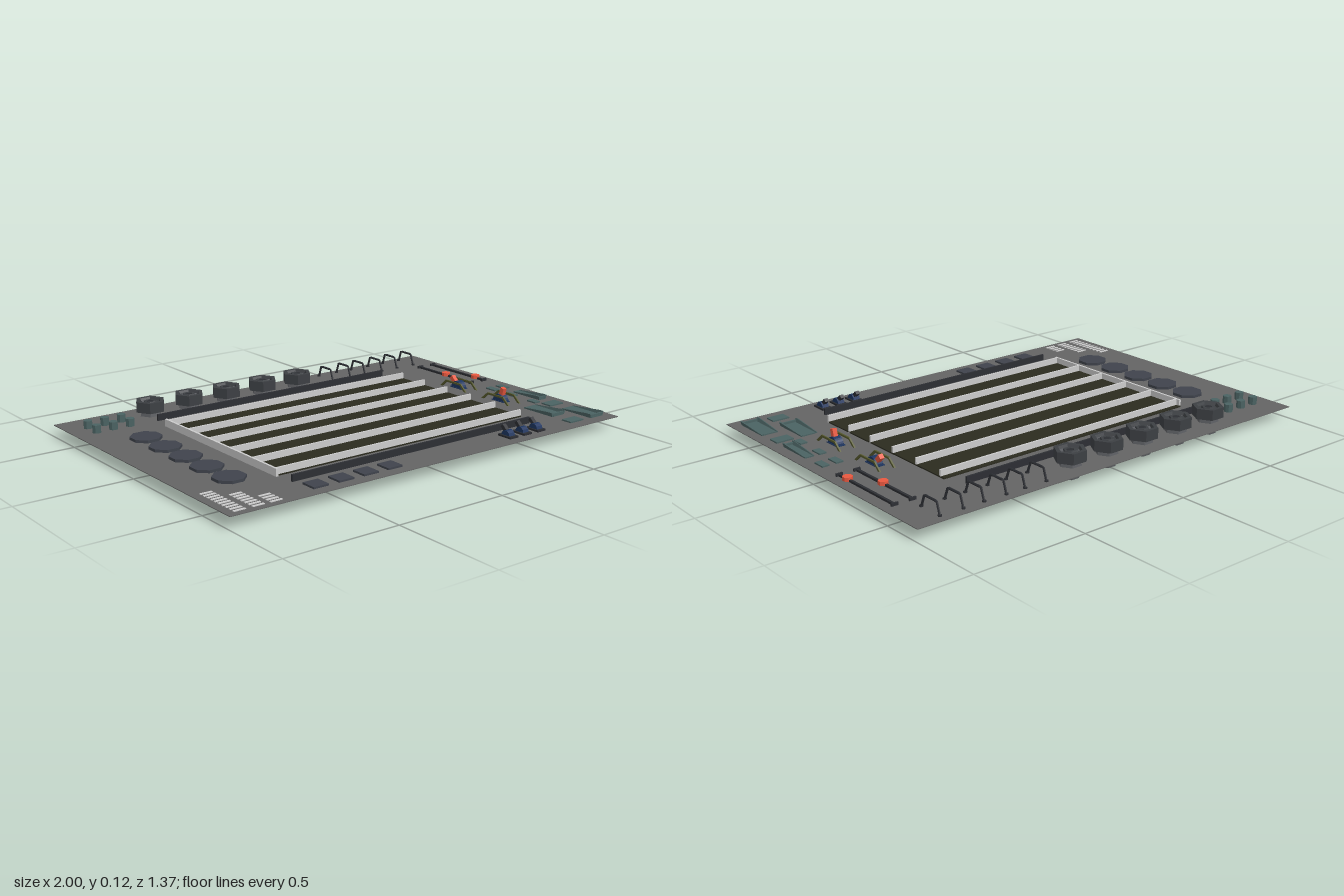
import * as THREE from 'three';

const Y = 0.053; // top surface of the panel

const mat = (color, double) => new THREE.MeshStandardMaterial({
  color, flatShading: true, side: double ? THREE.DoubleSide : THREE.FrontSide,
});
const M = {
  panel: mat(0x646464), light: mat(0xcccccc), olive: mat(0x2b2b1f), frame: mat(0x55582c),
  dark: mat(0x2c2e33), slate: mat(0x3f434c), navy: mat(0x1d3560), red: mat(0xe8583f),
  teal: mat(0x4a6262), metal: mat(0x5c5e62, true), cap: mat(0x3c3f43, true),
};

export function createModel() {
  const root = new THREE.Group();

  const add = (name, geo, m, x, y, z, parent = root) => {
    const mesh = new THREE.Mesh(geo, m);
    mesh.name = name;
    mesh.position.set(x, y, z);
    parent.add(mesh);
    return mesh;
  };
  // Box given by centre x/z, bottom y and size
  const box = (name, m, x, y, z, w, h, d, parent) =>
    add(name, new THREE.BoxGeometry(w, h, d), m, x, y + h / 2, z, parent);
  const group = (name, x, y, z) => {
    const g = new THREE.Group();
    g.name = name;
    g.position.set(x, y, z);
    root.add(g);
    return g;
  };
  // Extruded z/y outline, centred on x
  const sideProfile = (name, m, pts, width, x, y, z, parent) => {
    const shape = new THREE.Shape(pts.map(([pz, py]) => new THREE.Vector2(-pz, py)));
    const geo = new THREE.ExtrudeGeometry(shape, { depth: width, bevelEnabled: false });
    geo.translate(0, 0, -width / 2).rotateY(Math.PI / 2);
    return add(name, geo, m, x, y, z, parent);
  };

  // Base panel
  box('panel', M.panel, 0, Y - 0.003, 0, 2, 0.003, 1.37);

  // Central bed with upright slats and one end wall
  box('bed', M.olive, 0.015, Y - 0.0035, 0.025, 1.29, 0.009, 0.82);
  for (let i = 0; i < 6; i++) {
    box('slat', M.light, 0.015, Y, -0.36 + i * 0.1576, 1.29, 0.032, 0.009);
  }
  box('endWall', M.light, -0.63, Y, 0.03, 0.01, 0.032, 0.82);

  // Long dark rails behind and in front of the bed
  for (const z of [-0.47, 0.52]) box('rail', M.dark, 0, Y - 0.005, z, 1.24, 0.033, 0.009);

  // Hexagonal knobs with a cup passing below the panel
  const knobProfile = [
    [0.046, 0.07], [0.068, 0.073], [0.068, 0.119], [0.05, 0.119], [0.044, 0.108],
    [0.03, 0.108], [0.027, 0.115], [0.017, 0.115], [0.015, 0.1], [0.001, 0.1],
  ].map(([r, y]) => new THREE.Vector2(r, y));
  const cupProfile = [[0.001, 0], [0.038, 0], [0.049, Y], [0.046, 0.073]]
    .map(([r, y]) => new THREE.Vector2(r, y));
  for (let i = 0; i < 5; i++) {
    const g = group('knob', -0.595 + i * 0.196, 0, -0.573);
    const cap = add('knobCap', new THREE.LatheGeometry(knobProfile, 6), M.cap, 0, 0, 0, g);
    const cup = add('knobCup', new THREE.LatheGeometry(cupProfile, 6), M.metal, 0, 0, 0, g);
    add('knobRing', new THREE.CylinderGeometry(0.047, 0.047, 0.004, 6, 1), M.metal, 0, 0.106, 0, g)
      .rotation.y = Math.PI / 6;
    add('knobCentre', new THREE.CylinderGeometry(0.014, 0.014, 0.012, 6), M.dark, 0, 0.108, 0, g);
    cap.rotation.y = cup.rotation.y = Math.PI / 6;
    g.children[2].rotation.y = Math.PI / 2;
  }

  // Arched wire handles
  const arch = new THREE.CurvePath();
  const archPts = [[-0.058, 0], [-0.04, 0.052], [0.034, 0.052], [0.054, 0]]
    .map(([z, y]) => new THREE.Vector3(0, y, z));
  for (let i = 0; i < 3; i++) arch.add(new THREE.LineCurve3(archPts[i], archPts[i + 1]));
  for (const x of [0.375, 0.48, 0.57, 0.675, 0.77, 0.875]) {
    const g = group('wireHandle', x, Y, -0.59);
    add('wire', new THREE.TubeGeometry(arch, 24, 0.005, 6), M.dark, 0, 0, 0, g);
    for (const z of [-0.058, 0.054]) {
      add('foot', new THREE.CylinderGeometry(0.008, 0.008, 0.006, 8), M.dark, 0, 0.003, z, g);
    }
  }

  // Small round buttons
  for (const x of [-0.905, -0.827, -0.748]) {
    for (const z of [-0.555, -0.477]) {
      add('button', new THREE.CylinderGeometry(0.019, 0.019, 0.034, 8), M.teal, x, Y + 0.017, z);
    }
  }

  // Large eight-sided pads
  for (let i = 0; i < 5; i++) {
    add('pad', new THREE.CylinderGeometry(0.068, 0.068, 0.012, 8), M.slate,
      -0.785, Y + 0.006, -0.277 + i * 0.156).rotation.y = Math.PI / 8;
  }

  // Square keys
  for (let i = 0; i < 4; i++) {
    box('squareKey', M.slate, -0.57 + i * 0.118, Y, 0.603, 0.07, 0.008, 0.07);
  }

  // Stepped columns of marker bars
  [[-0.94, 10], [-0.86, 7], [-0.783, 4]].forEach(([x, count]) => {
    for (let i = 0; i < count; i++) {
      box('markerBar', M.light, x, Y, 0.652 - i * 0.0243, 0.052, 0.003, 0.011);
    }
  });

  // Toggle switches
  for (const x of [0.415, 0.495, 0.575]) {
    const g = group('toggleSwitch', x, Y, 0.605);
    box('toggleBase', M.dark, 0, -0.009, 0, 0.046, 0.017, 0.072, g);
    const hub = add('toggleHub', new THREE.CylinderGeometry(0.024, 0.024, 0.032, 10), M.navy, 0, 0.006, 0, g);
    hub.rotation.z = Math.PI / 2;
    const lever = box('toggleLever', M.dark, 0, 0.018, -0.02, 0.018, 0.03, 0.016, g);
    lever.rotation.x = -0.85;
  }

  // Rocker levers between two trapezoid guards
  const guard = [
    [-0.088, 0], [-0.05, 0.033], [0.05, 0.033], [0.088, 0],
    [0.074, 0], [0.045, 0.025], [-0.045, 0.025], [-0.074, 0],
  ];
  for (const [z, tilt] of [[-0.085, -0.8], [0.195, 0.25]]) {
    const g = group('rocker', 0.77, Y, z);
    for (const x of [-0.034, 0.034]) sideProfile('rockerGuard', M.frame, guard, 0.007, x, 0, 0, g);
    box('rockerBase', M.navy, 0, -0.009, 0, 0.04, 0.012, 0.078, g);
    const hub = add('rockerHub', new THREE.CylinderGeometry(0.033, 0.033, 0.034, 12, 1, false, 0, Math.PI),
      M.navy, 0, 0, 0, g);
    hub.rotation.z = Math.PI / 2;
    const pivot = new THREE.Group();
    pivot.name = 'rockerLeverPivot';
    pivot.rotation.x = tilt;
    g.add(pivot);
    box('rockerLever', M.red, 0, 0.024, 0, 0.02, 0.04, 0.02, pivot);
  }

  // Linear sliders with round grips
  for (const [x, grip] of [[0.865, -0.28], [0.945, -0.16]]) {
    box('sliderTrack', M.dark, x, Y, -0.285, 0.011, 0.009, 0.37);
    for (const z of [-0.468, -0.102]) box('sliderEnd', M.dark, x, Y, z, 0.03, 0.012, 0.008);
    add('sliderGrip', new THREE.CylinderGeometry(0.021, 0.021, 0.016, 8), M.red, x, Y + 0.01, grip)
      .rotation.y = Math.PI / 8;
  }

  // Flat teal plates
  const plates = [
    [0.872, 0.037, 0.033, 0.058], [0.935, 0.037, 0.033, 0.058], [0.872, 0.157, 0.033, 0.055],
    [0.872, 0.3, 0.033, 0.05], [0.915, 0.375, 0.08, 0.055], [0.797, 0.607, 0.078, 0.052],
  ];
  for (const [x, z, w, d] of plates) box('tealPlate', M.teal, x, Y, z, w, 0.006, d);

  // Teal trays with sloping side walls and a front lip
  for (const [x, z, w, d] of [[0.932, 0.215, 0.04, 0.165], [0.8, 0.435, 0.08, 0.17], [0.92, 0.548, 0.08, 0.17]]) {
    const g = group('tray', x, Y, z);
    box('trayFloor', M.teal, 0, 0, 0, w * 0.75, 0.005, d, g);
    const wall = [[-d / 2, 0], [-d / 2, 0.006], [d / 2 - 0.02, 0.02], [d / 2, 0.02], [d / 2, 0]];
    for (const s of [-1, 1]) {
      sideProfile('trayWall', M.teal, wall, 0.006, s * w * 0.42, 0, 0, g).rotation.z = -s * 0.3;
    }
    box('trayLip', M.teal, 0, 0, d / 2 - 0.005, w * 0.9, 0.014, 0.008, g);
  }

  return root;
}
